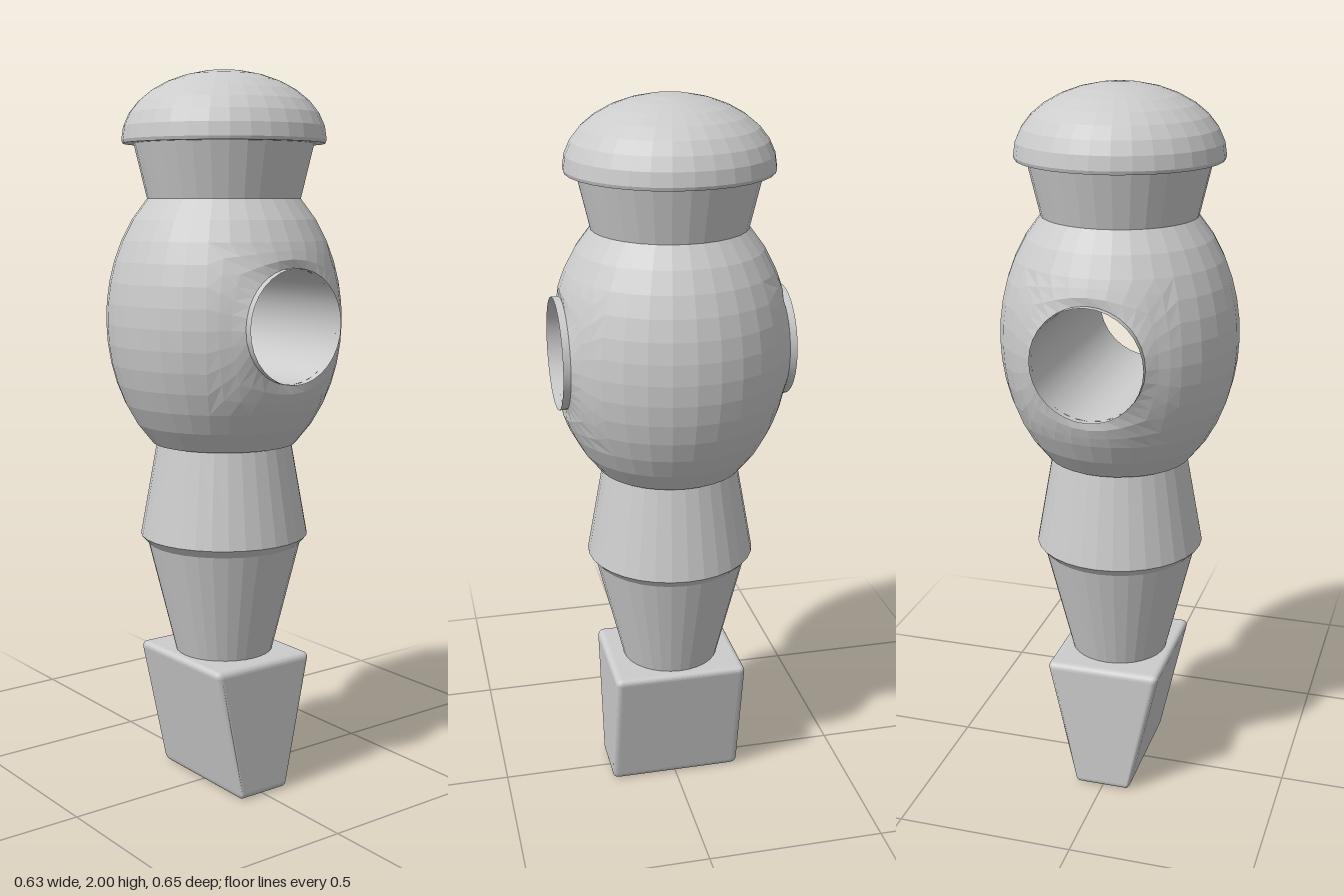
import * as THREE from 'three';
import { RoundedBoxGeometry } from 'three/addons/geometries/RoundedBoxGeometry.js';

const SIDES = 32, ROWS = 12, BORE_Y = 1.33, BORE_R = 0.152;
const V2 = (x, y) => new THREE.Vector2(x, y);
const material = new THREE.MeshStandardMaterial({ color: 0xcccccc, flatShading: true });
const thinMaterial = new THREE.MeshStandardMaterial({ color: 0xcccccc, side: THREE.DoubleSide });

function addMesh(parent, name, geometry, mat = material) {
  const mesh = new THREE.Mesh(geometry, mat);
  mesh.name = name;
  parent.add(mesh);
  return mesh;
}

// Torso outline: radius at a height, and the height of each row
const torsoRadius = (y) => 0.325 * Math.sqrt(1 - ((y - BORE_Y) / 0.432) ** 2);
const rowY = (i) => 0.99 + (0.67 * i) / ROWS;
const torsoRows = (from, to) => {
  const points = [];
  for (let i = from; i <= to; i++) points.push(V2(torsoRadius(rowY(i)), rowY(i)));
  return points;
};

// Side of the torso: rings that run from the round bore to the square gap in the lathe
function sidePatch() {
  const border = [];
  for (let i = 0; i < 8; i++) border.push([4, i - 4]);
  for (let i = 0; i < 8; i++) border.push([4 - i, 4]);
  for (let i = 0; i < 8; i++) border.push([-4, 4 - i]);
  for (let i = 0; i < 8; i++) border.push([i - 4, -4]);
  const n = border.length, rings = 3, positions = [], indices = [];
  for (let k = 0; k <= rings; k++) {
    const t = k / rings;
    for (const [col, row] of border) {
      const u1 = (col * 2 * Math.PI) / SIDES, y1 = rowY(6 + row);
      const a = Math.atan2(y1 - BORE_Y, u1 * 0.325);
      const h = BORE_R * Math.cos(a), y0 = BORE_Y + BORE_R * Math.sin(a);
      if (k === 0) {
        positions.push(0.295, y0, -h);
        continue;
      }
      const u = THREE.MathUtils.lerp(Math.asin(h / torsoRadius(y0)), u1, t);
      const y = THREE.MathUtils.lerp(y0, y1, t), r = torsoRadius(y);
      positions.push(r * Math.cos(u), y, -r * Math.sin(u));
    }
  }
  for (let k = 0; k < rings; k++) {
    for (let i = 0; i < n; i++) {
      const j = (i + 1) % n;
      const a = k * n + i, b = a + n, c = (k + 1) * n + j, d = k * n + j;
      indices.push(a, b, c, a, c, d);
    }
  }
  const geometry = new THREE.BufferGeometry();
  geometry.setAttribute('position', new THREE.Float32BufferAttribute(positions, 3));
  geometry.setIndex(indices);
  geometry.computeVertexNormals();
  return geometry;
}

export function createModel() {
  const model = new THREE.Group();
  model.name = 'tableFootballPlayer';

  // Foot: rounded block that narrows in depth towards the ground
  const footGeometry = new RoundedBoxGeometry(0.38, 0.385, 0.33, 3, 0.018);
  footGeometry.translate(0, 0.1975, 0);
  const p = footGeometry.attributes.position;
  for (let i = 0; i < p.count; i++) {
    p.setZ(i, p.getZ(i) * THREE.MathUtils.lerp(0.47, 1, p.getY(i) / 0.39));
  }
  footGeometry.computeVertexNormals();
  addMesh(model, 'foot', footGeometry);

  // Legs and flared shorts
  addMesh(model, 'legs', new THREE.LatheGeometry(
    [V2(0.135, 0.38), V2(0.215, 0.705), V2(0.235, 0.728), V2(0.188, 0.99)], SIDES));

  // Torso: closed bands above and below, front and back panels, bored sides
  const torso = new THREE.Group();
  torso.name = 'torso';
  model.add(torso);
  addMesh(torso, 'lowerTorso', new THREE.LatheGeometry([V2(0.18, 0.988), ...torsoRows(0, 2)], SIDES));
  addMesh(torso, 'upperTorso', new THREE.LatheGeometry(torsoRows(10, ROWS), SIDES));
  const panel = new THREE.LatheGeometry(torsoRows(2, 10), SIDES / 4, -Math.PI / 4, Math.PI / 2);
  const patch = sidePatch();
  for (const [names, turn] of [[['chest', 'leftSide'], 0], [['back', 'rightSide'], Math.PI]]) {
    addMesh(torso, names[0], panel).rotation.y = turn;
    addMesh(torso, names[1], patch).rotation.y = turn;
  }

  // Rod sleeve: open tube right through the torso, standing proud at both ends
  const sleeve = new THREE.CylinderGeometry(BORE_R, BORE_R, 0.63, SIDES, 1, true);
  sleeve.rotateZ(Math.PI / 2);
  addMesh(model, 'rodSleeve', sleeve, thinMaterial).position.y = BORE_Y;

  // Neck
  addMesh(model, 'neck', new THREE.LatheGeometry([V2(0.209, 1.655), V2(0.246, 1.81)], SIDES));

  // Head: dome with a flat underside
  const dome = [V2(0.24, 1.806), V2(0.275, 1.806)];
  for (let i = 0; i <= 8; i++) {
    const a = (i / 8) * (Math.PI / 2);
    dome.push(V2(i === 8 ? 0 : 0.278 * Math.cos(a), 1.815 + 0.185 * Math.sin(a)));
  }
  addMesh(model, 'head', new THREE.LatheGeometry(dome, SIDES));

  return model;
}
